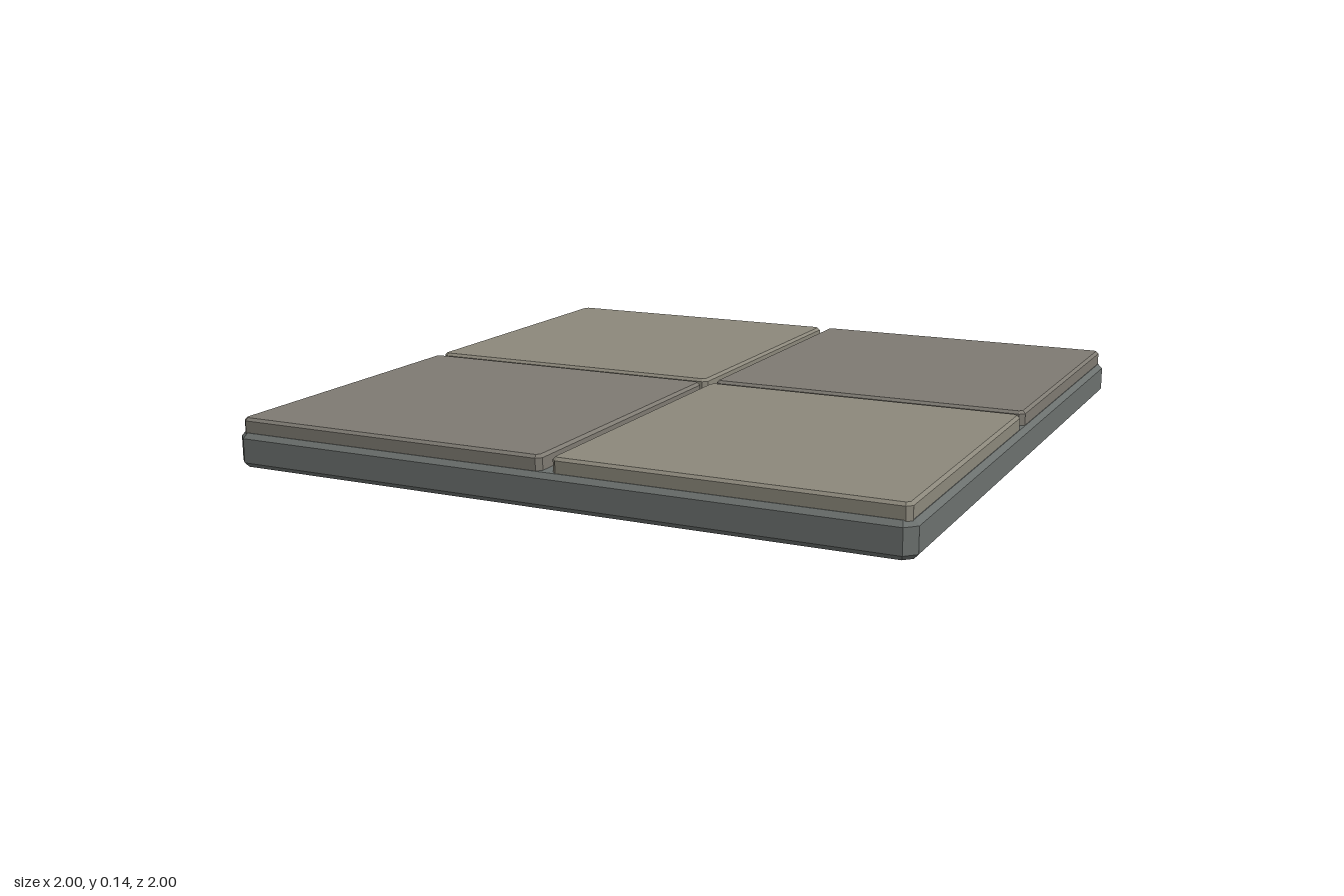
import * as THREE from 'three';

// Square slab with clipped corners and chamfered top and bottom rims, standing on y = 0
function slab(size, height, corner, bevel, rise) {
  const h = size / 2, c = h - corner;
  const shape = new THREE.Shape([
    [h, -c], [h, c], [c, h], [-c, h], [-h, c], [-h, -c], [-c, -h], [c, -h],
  ].map(([x, y]) => new THREE.Vector2(x, y)));
  const geometry = new THREE.ExtrudeGeometry(shape, {
    depth: height - 2 * rise,
    bevelEnabled: true,
    bevelSegments: 1,
    bevelThickness: rise,
    bevelSize: bevel,
    bevelOffset: -bevel,
  });
  geometry.translate(0, 0, rise);
  geometry.rotateX(-Math.PI / 2);
  return geometry;
}

function material(color) {
  return new THREE.MeshStandardMaterial({ color, flatShading: true });
}

export function createModel() {
  const group = new THREE.Group();
  group.name = 'floorTile';

  // Base slab
  const base = new THREE.Mesh(slab(2, 0.098, 0.03, 0.013, 0.014), material(0x6b706e));
  base.name = 'base';
  group.add(base);

  // Four paving plates in a checker of two tones
  const plate = slab(0.97, 0.07, 0.014, 0.008, 0.008);
  const light = material(0x8c887b);
  const dark = material(0x7e7a72);
  for (const sx of [-1, 1]) {
    for (const sz of [-1, 1]) {
      const mesh = new THREE.Mesh(plate, sx === sz ? light : dark);
      mesh.name = (sz > 0 ? 'front' : 'back') + (sx > 0 ? 'Left' : 'Right') + 'Plate';
      mesh.position.set(sx * 0.5, 0.07, sz * 0.5);
      group.add(mesh);
    }
  }
  return group;
}
